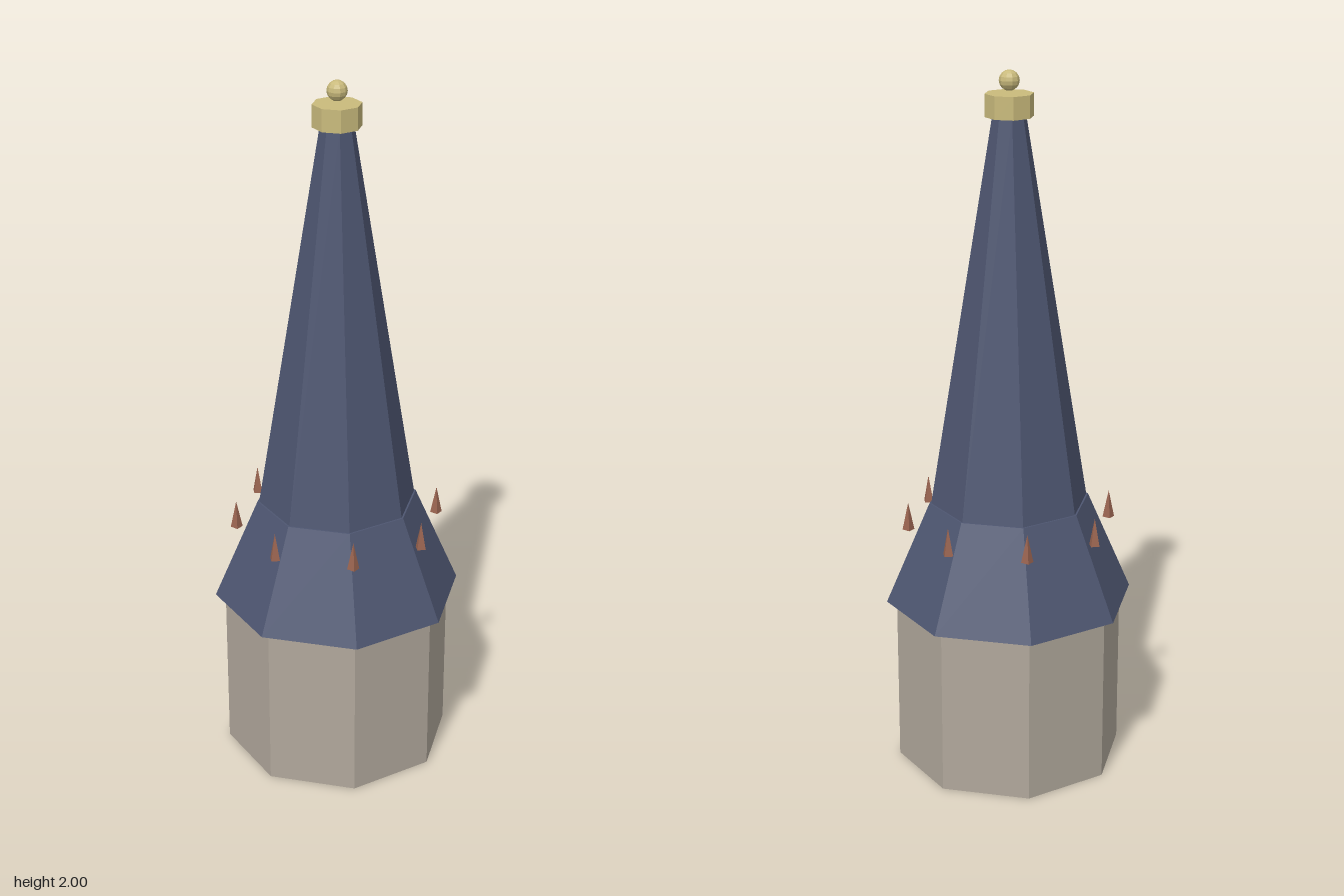
import * as THREE from 'three';

const SIDES = 8;

function material(name, color) {
  const m = new THREE.MeshStandardMaterial({ color, flatShading: true });
  m.name = name;
  return m;
}

export function createModel() {
  const group = new THREE.Group();
  group.name = 'spireTower';

  const stone = material('stone', 0xb0a79b);
  const slate = material('slate', 0x4e5671);
  const gold = material('gold', 0xc9ba7c);
  const copper = material('copper', 0x9a6450);

  const add = (name, geometry, mat, x, y, z) => {
    const mesh = new THREE.Mesh(geometry, mat);
    mesh.name = name;
    mesh.position.set(x, y, z);
    group.add(mesh);
    return mesh;
  };

  // Octagonal section standing between two heights
  const section = (name, mat, rBottom, rTop, y0, y1) =>
    add(name, new THREE.CylinderGeometry(rTop, rBottom, y1 - y0, SIDES), mat, 0, (y0 + y1) / 2, 0);

  section('towerBase', stone, 0.327, 0.327, 0, 0.49);
  section('roofSkirt', slate, 0.356, 0.229, 0.49, 0.785);
  section('spire', slate, 0.224, 0.046, 0.785, 1.88);
  section('finialCollar', gold, 0.067, 0.067, 1.876, 1.938);

  // Ball on the tip
  add('finialBall', new THREE.SphereGeometry(0.028, 10, 8), gold, 0, 1.972, 0);

  // Ring of small spikes, one over each corner of the skirt
  const spikeGeometry = new THREE.ConeGeometry(0.017, 0.08, 4);
  for (let i = 0; i < SIDES; i++) {
    const a = (i / SIDES) * Math.PI * 2;
    const spike = add('roofSpike', spikeGeometry, copper, Math.sin(a) * 0.29, 0.75, Math.cos(a) * 0.29);
    spike.rotation.y = a;
  }

  return group;
}
